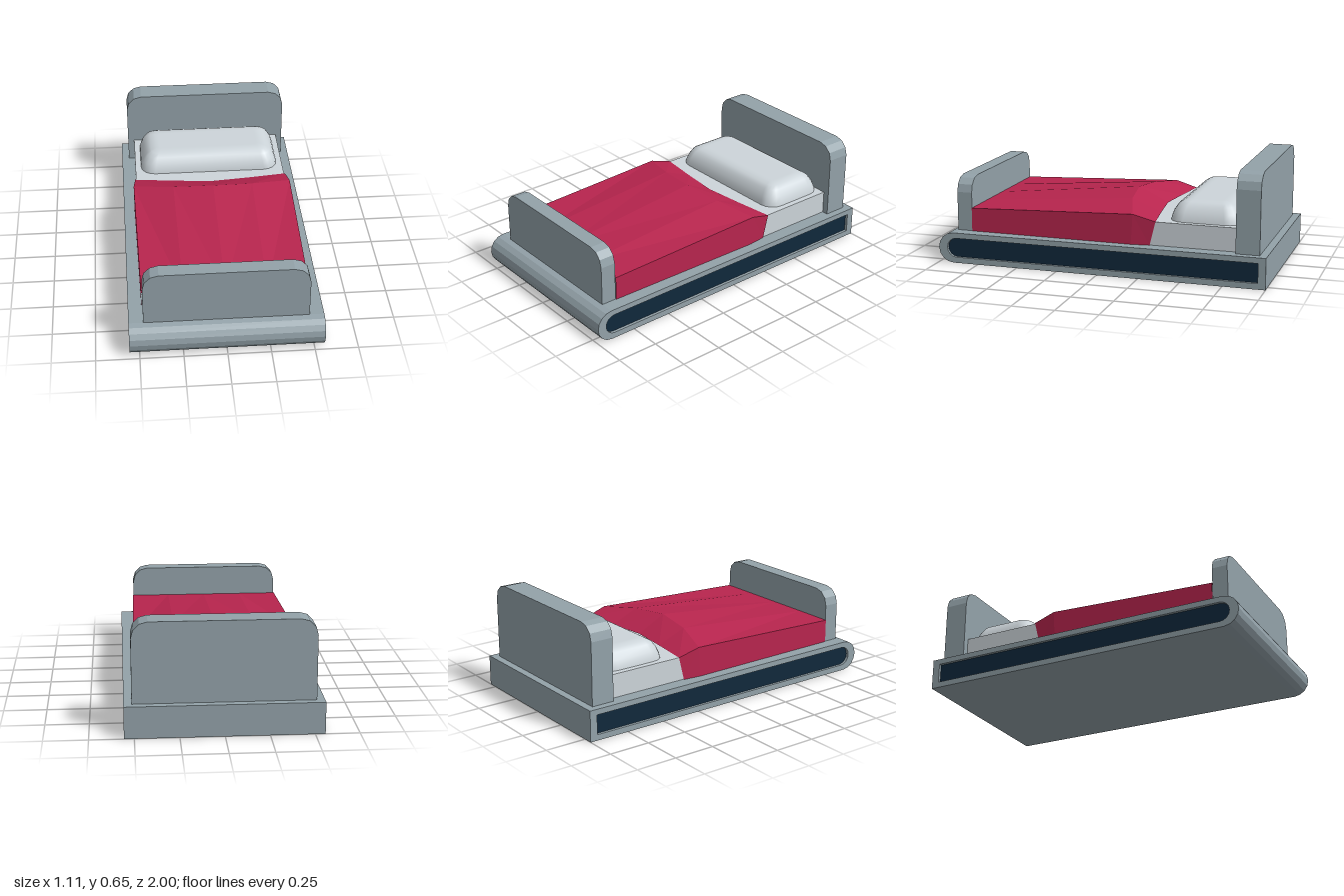
import * as THREE from 'three';

const paint = (name, color) => {
  const m = new THREE.MeshStandardMaterial({ color });
  m.name = name;
  return m;
};

// Points along a circular arc, angles in quarter turns
function arc(cx, cy, r, from, to, segments) {
  return Array.from({ length: segments + 1 }, (_, i) => {
    const a = (from + (to - from) * i / segments) * Math.PI / 2;
    return new THREE.Vector2(cx + r * Math.cos(a), cy + r * Math.sin(a));
  });
}

// Side outline: square at the back, half round at the front
function bulletOutline(back, front, y0, y1) {
  const r = (y1 - y0) / 2;
  return [new THREE.Vector2(back, y0),
    ...arc(front - r, y0 + r, r, -1, 1, 8),
    new THREE.Vector2(back, y1)];
}

// Extrude a side outline across the full width
function acrossWidth(shape, width) {
  return new THREE.ExtrudeGeometry(shape, { depth: width, bevelEnabled: false })
    .translate(0, 0, -width / 2).rotateY(-Math.PI / 2);
}

// Upright board with rounded top corners
function board(halfWidth, y0, y1, z0, z1, r) {
  const shape = new THREE.Shape([
    new THREE.Vector2(-halfWidth, y0), new THREE.Vector2(halfWidth, y0),
    ...arc(halfWidth - r, y1 - r, r, 0, 1, 3),
    ...arc(-halfWidth + r, y1 - r, r, 1, 2, 3)]);
  return new THREE.ExtrudeGeometry(shape, { depth: z1 - z0, bevelEnabled: false }).translate(0, 0, z0);
}

// Blanket draped over the mattress, swelling to a curved crest
function blanketGeometry() {
  const bottom = 0.185;
  // Each station: half width, bottom z, then [z, y] at edge, halfway and centre
  const stations = [
    { w: 0.478, bz: 0.815, pts: [[0.815, 0.326], [0.815, 0.326], [0.815, 0.326]] },
    { w: 0.491, bz: -0.19, pts: [[-0.2, 0.365], [-0.125, 0.402], [-0.095, 0.42]] },
    { w: 0.479, bz: -0.3, pts: [[-0.335, 0.327], [-0.303, 0.329], [-0.277, 0.331]] },
  ];
  const pos = [], index = [], cols = 7;
  stations.forEach(({ w, bz, pts }, row) => {
    pos.push(-w, bottom, bz);
    for (let i = -2; i <= 2; i++) {
      const [z, y] = pts[2 - Math.abs(i)];
      pos.push(w * i / 2, y, z);
    }
    pos.push(w, bottom, bz);
    if (row === 0) return;
    for (let c = 0; c < cols - 1; c++) {
      const a = (row - 1) * cols + c, d = a + cols;
      // Mirror the diagonal so both halves match
      if (c < 3) index.push(a, a + 1, d, a + 1, d + 1, d);
      else index.push(a, a + 1, d + 1, a, d + 1, d);
    }
  });
  const g = new THREE.BufferGeometry();
  g.setAttribute('position', new THREE.Float32BufferAttribute(pos, 3));
  g.setIndex(index);
  const flat = g.toNonIndexed();
  flat.computeVertexNormals();
  return flat;
}

// Soft pillow from stacked rounded rectangles
function pillowGeometry() {
  const hx = 0.438, hz = 0.212, cz = -0.607, seg = 4;
  const levels = [[0, 0.32], [0.004, 0.345], [0.017, 0.38], [0.042, 0.418], [0.07, 0.434], [0.1, 0.441], [0.125, 0.441]];
  const pos = [], index = [], n = 4 * (seg + 1);
  levels.forEach(([inset, y], k) => {
    const r = Math.max(0.09 - inset * 0.6, 0.02), x = hx - inset - r, z = hz - inset - r;
    const ring = [...arc(x, z, r, 0, 1, seg), ...arc(-x, z, r, 1, 2, seg),
      ...arc(-x, -z, r, 2, 3, seg), ...arc(x, -z, r, 3, 4, seg)];
    ring.forEach((p) => pos.push(p.x, y, cz + p.y));
    if (k === 0) return;
    for (let i = 0; i < n; i++) {
      const j = (i + 1) % n, a = (k - 1) * n, b = k * n;
      index.push(a + i, b + i, a + j, a + j, b + i, b + j);
    }
  });
  const last = (levels.length - 1) * n, centre = pos.length / 3;
  pos.push(0, 0.441, cz);
  for (let i = 0; i < n; i++) index.push(last + i, centre, last + (i + 1) % n);
  const g = new THREE.BufferGeometry();
  g.setAttribute('position', new THREE.Float32BufferAttribute(pos, 3));
  g.setIndex(index);
  g.computeVertexNormals();
  return g;
}

export function createModel() {
  const grey = paint('frame grey', 0x93a2a9);
  const navy = paint('dark navy', 0x10283c);
  const white = paint('linen white', 0xcdd5da);
  const red = paint('blanket red', 0xb8254e);

  const bed = new THREE.Group();
  bed.name = 'bed';
  const add = (name, geometry, material) => {
    const mesh = new THREE.Mesh(geometry, material);
    mesh.name = name;
    bed.add(mesh);
  };

  // Base shell, open at the sides, with a recessed dark core
  const slot = bulletOutline(-0.955, 0.945, 0.035, 0.152);
  const shell = new THREE.Shape(bulletOutline(-1, 1, 0, 0.185));
  shell.holes.push(new THREE.Path(slot));
  add('baseFrame', acrossWidth(shell, 1.114), grey);
  add('sidePanels', acrossWidth(new THREE.Shape(slot), 1.08), navy);

  // Boards at both ends
  add('headboard', board(0.512, 0.185, 0.652, -0.955, -0.815, 0.094), grey);
  add('footboard', board(0.473, 0.185, 0.513, 0.815, 0.908, 0.094), grey);

  // Bedding
  add('mattress', new THREE.BoxGeometry(0.946, 0.14, 1.62).translate(0, 0.255, -0.005), white);
  add('pillow', pillowGeometry(), white);
  red.side = THREE.DoubleSide;
  add('blanket', blanketGeometry(), red);
  return bed;
}
